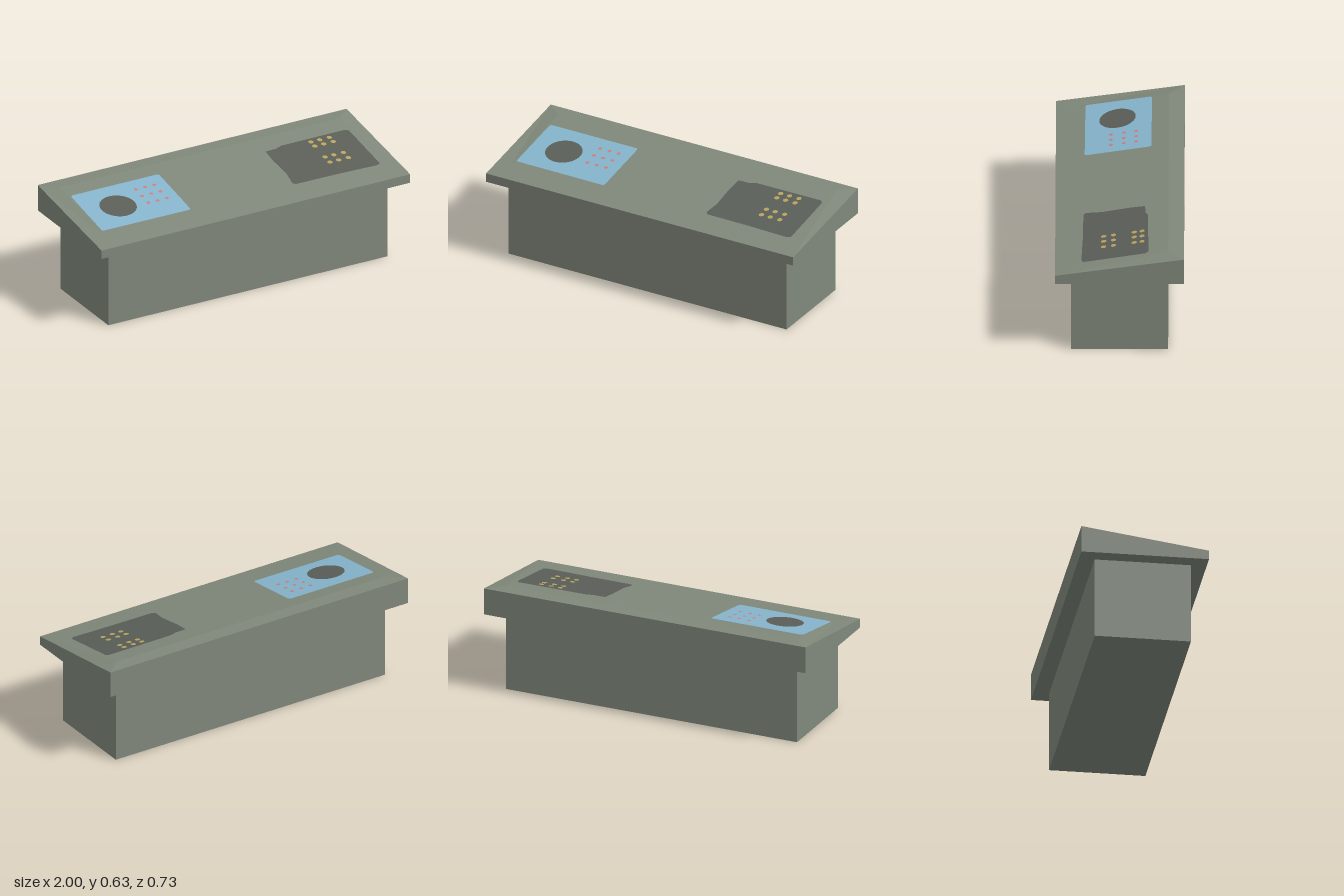
import * as THREE from 'three';

const mat = (name, color, side = THREE.FrontSide) => {
  const m = new THREE.MeshStandardMaterial({ color, side });
  m.name = name;
  return m;
};

// Height of the sloping desk top at depth z
const slopeY = (z) => 0.527 + 0.164 * (0.363 - z);

// Closed band of quads between two rings of equal length
function ringBand(lower, upper) {
  const out = [];
  lower.forEach((a, i) => {
    const j = (i + 1) % lower.length;
    out.push(a, lower[j], upper[j], a, upper[j], upper[i]);
  });
  return out;
}

function fromPoints(points) {
  const g = new THREE.BufferGeometry();
  g.setAttribute('position', new THREE.Float32BufferAttribute(points.flat(), 3));
  g.computeVertexNormals();
  return g;
}

// Flat painted outline, given as [x, z] points, laid on the slope
function decal(points, lift) {
  const shape = new THREE.Shape(points.map(([x, z]) => new THREE.Vector2(x, -z)));
  const g = new THREE.ShapeGeometry(shape).rotateX(-Math.PI / 2);
  const p = g.attributes.position;
  for (let i = 0; i < p.count; i++) p.setY(i, slopeY(p.getZ(i)) + lift);
  g.computeVertexNormals();
  return g;
}

const disc = (cx, cz, rx, rz, n) => Array.from({ length: n }, (_, i) => {
  const a = ((i + 0.5) / n) * Math.PI * 2;
  return [cx + rx * Math.cos(a), cz - rz * Math.sin(a)];
});

export function createModel() {
  const group = new THREE.Group();
  const body = mat('grey green metal', 0x80887b);
  const blue = mat('light blue panel', 0x86b5cc);
  const dark = mat('dark grey panel', 0x5b5f58);
  const red = mat('coral buttons', 0xcf7a78);
  const gold = mat('gold buttons', 0xb9a35c);

  const add = (name, geometry, material) => {
    const mesh = new THREE.Mesh(geometry, material);
    mesh.name = name;
    group.add(mesh);
    return mesh;
  };

  // Pedestal
  add('pedestal', new THREE.BoxGeometry(1.81, 0.475, 0.548), body).position.y = 0.2375;

  // Desk slab: underside, wedge sides, and a slightly raised inner top
  const ring = (x, zf, zb, yf, yb) => [[-x, yf, zf], [x, yf, zf], [x, yb, zb], [-x, yb, zb]];
  const bottom = ring(1, 0.363, -0.363, 0.474, 0.474);
  const rim = ring(1, 0.363, -0.363, 0.527, 0.632);
  const inner = ring(0.905, 0.274, -0.274, slopeY(0.274), slopeY(-0.274));
  const quad = ([a, b, c, d]) => [a, b, c, a, c, d];
  add('deskSides', fromPoints([...ringBand(bottom, rim), ...quad([...bottom].reverse())]), body);
  add('deskTop', fromPoints([...ringBand(rim, inner), ...quad(inner)]), body);

  // Left-hand control panel with a round screen
  add('bluePanel', decal([
    [-0.9, 0.19], [-0.89, 0.197], [-0.335, 0.2], [-0.327, 0.19],
    [-0.323, -0.165], [-0.332, -0.177], [-0.885, -0.177], [-0.895, -0.165],
  ], 0.002), blue);
  add('roundScreen', decal(disc(-0.695, 0.016, 0.107, 0.103, 32), 0.004), dark);

  // Opposite control panel with uneven edges
  add('darkPanel', decal([
    [0.335, 0.19], [0.35, 0.205], [0.6, 0.207], [0.87, 0.215], [0.893, 0.205],
    [0.893, -0.145], [0.875, -0.162], [0.46, -0.16], [0.42, -0.145], [0.35, -0.142],
    [0.345, -0.05], [0.35, 0.1],
  ], 0.002), dark);

  // Button grids
  const buttons = (name, xs, zs, r, material) => {
    for (const x of xs) for (const z of zs) add(name, decal(disc(x, z, r, r, 8), 0.004), material);
  };
  buttons('coralButton', [-0.52, -0.46, -0.4], [-0.09, -0.02, 0.053], 0.012, red);
  buttons('goldButton', [0.635, 0.692, 0.754], [-0.126, -0.082, 0.035, 0.09], 0.016, gold);

  return group;
}
